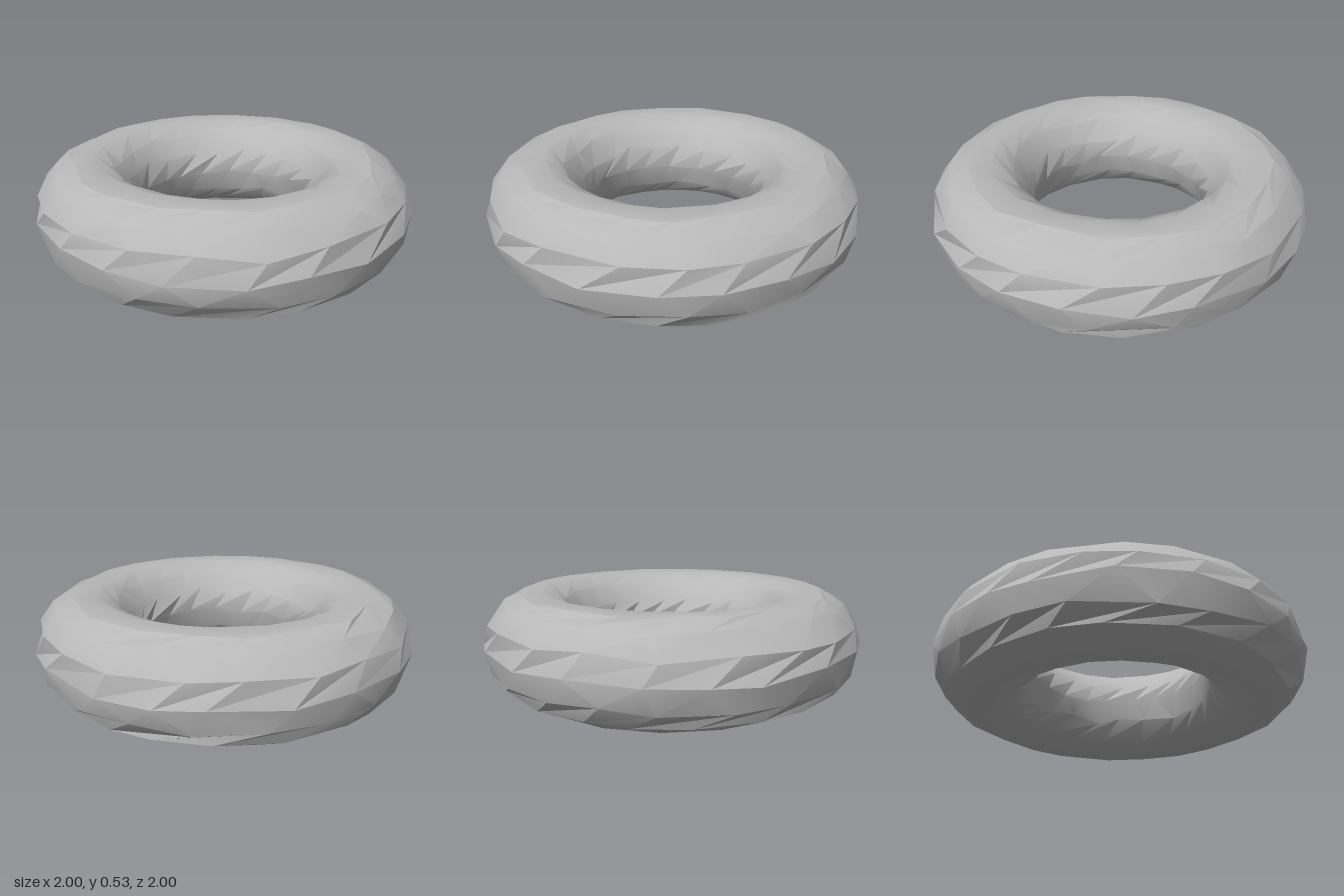
import * as THREE from 'three';
import { toCreasedNormals } from 'three/addons/utils/BufferGeometryUtils.js';

const RING_RADIUS = 0.732, TUBE_RADIUS = 0.268;
const TUBE_SIDES = 14, RING_SIDES = 20;

// Repeatable value from -0.5 to 0.5 for one grid point
function jitter(i, j, salt) {
  const s = Math.sin(i * 127.1 + j * 311.7 + salt * 74.7) * 43758.5453;
  return s - Math.floor(s) - 0.5;
}

export function createModel() {
  const group = new THREE.Group();
  group.name = 'ringModel';
  const grey = new THREE.MeshStandardMaterial({ color: 0xb8b8b8 });
  grey.name = 'grey';

  // Ring whose grid points slide along the surface, giving uneven facets
  const geometry = new THREE.TorusGeometry(RING_RADIUS, TUBE_RADIUS, TUBE_SIDES, RING_SIDES);
  const position = geometry.attributes.position;
  for (let j = 0; j <= TUBE_SIDES; j++) {
    for (let i = 0; i <= RING_SIDES; i++) {
      const a = i % RING_SIDES, b = j % TUBE_SIDES;
      const around = (a + 0.5 * (b % 2) + 0.4 * jitter(a, b, 1)) / RING_SIDES * Math.PI * 2;
      const tube = (b + 0.35 * jitter(a, b, 2)) / TUBE_SIDES * Math.PI * 2;
      const radius = RING_RADIUS + TUBE_RADIUS * Math.cos(tube);
      position.setXYZ(j * (RING_SIDES + 1) + i,
        radius * Math.cos(around), radius * Math.sin(around), TUBE_RADIUS * Math.sin(tube));
    }
  }
  geometry.rotateX(-Math.PI / 2);

  // Stand the ring on the ground, centred
  geometry.computeBoundingBox();
  const box = geometry.boundingBox;
  geometry.translate(-(box.min.x + box.max.x) / 2, -box.min.y, -(box.min.z + box.max.z) / 2);

  const ring = new THREE.Mesh(toCreasedNormals(geometry, 0.5), grey);
  ring.name = 'ring';
  group.add(ring);
  return group;
}
